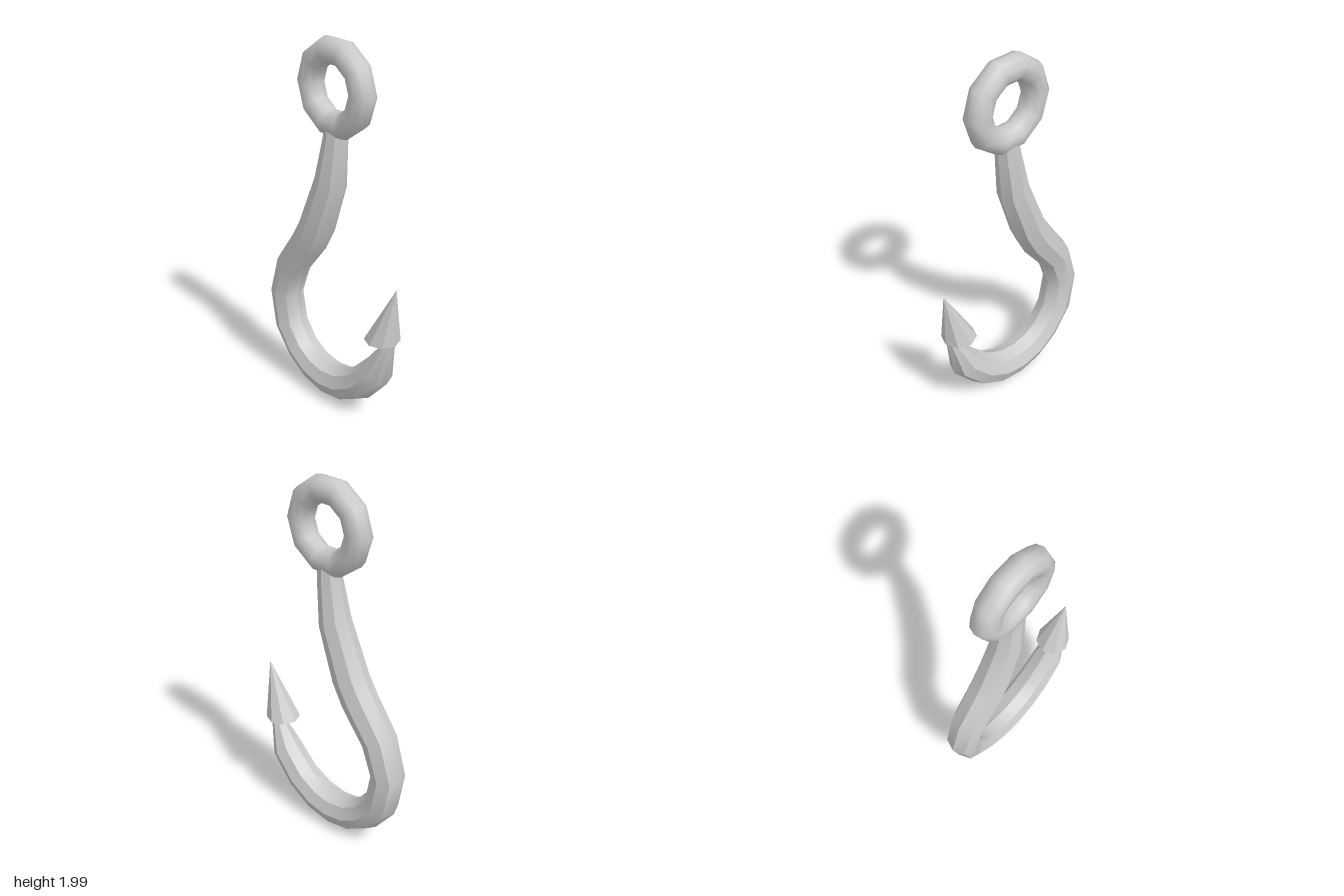
import * as THREE from 'three';
import { toCreasedNormals } from 'three/addons/utils/BufferGeometryUtils.js';

const SIDES = 8;

// Stations along the shank: outer edge x, y then inner edge x, y
const STATIONS = [
  [-0.032, 1.56, 0.085, 1.56],
  [-0.04, 1.51, 0.085, 1.49],
  [-0.09, 1.3, 0.065, 1.235],
  [-0.21, 1.02, -0.03, 0.95],
  [-0.262, 0.935, -0.1, 0.82],
  [-0.4, 0.735, -0.235, 0.65],
  [-0.47, 0.5, -0.29, 0.5],
  [-0.43, 0.275, -0.26, 0.345],
  [-0.31, 0.12, -0.19, 0.255],
  [-0.17, 0.035, -0.11, 0.21],
  [-0.02, 0.006, -0.02, 0.195],
  [0.14, 0.034, 0.07, 0.21],
  [0.29, 0.125, 0.175, 0.265],
  [0.42, 0.28, 0.285, 0.38],
  [0.458, 0.525, 0.4, 0.53],
];

// Octagonal sections spanning each outer/inner pair, joined and capped
function shankGeometry() {
  const positions = [];
  const index = [];
  for (const [ox, oy, ix, iy] of STATIONS) {
    const cx = (ox + ix) / 2, cy = (oy + iy) / 2;
    const hx = (ox - ix) / 2, hy = (oy - iy) / 2;
    const depth = Math.min(Math.hypot(hx, hy), 0.094);
    for (let s = 0; s < SIDES; s++) {
      const a = (s / SIDES) * Math.PI * 2;
      positions.push(cx + hx * Math.cos(a), cy + hy * Math.cos(a), depth * Math.sin(a));
    }
  }
  for (let r = 0; r < STATIONS.length - 1; r++) {
    for (let s = 0; s < SIDES; s++) {
      const a = r * SIDES + s, b = r * SIDES + (s + 1) % SIDES;
      index.push(a, a + SIDES, b, b, a + SIDES, b + SIDES);
    }
  }
  const last = (STATIONS.length - 1) * SIDES;
  for (let s = 1; s < SIDES - 1; s++) {
    index.push(0, s, s + 1, last, last + s + 1, last + s);
  }
  const geometry = new THREE.BufferGeometry();
  geometry.setAttribute('position', new THREE.Float32BufferAttribute(positions, 3));
  geometry.setIndex(index);
  return toCreasedNormals(geometry, THREE.MathUtils.degToRad(38));
}

// Cone whose apex leans outward, with a slightly dished-out underside
function barbGeometry() {
  const height = 0.32;
  const geometry = new THREE.ConeGeometry(0.093, height, SIDES);
  geometry.translate(0, height / 2, 0);
  const p = geometry.attributes.position;
  for (let i = 0; i < p.count; i++) {
    const x = p.getX(i), y = p.getY(i), z = p.getZ(i);
    p.setX(i, x + 0.089 * (y / height));
    if (y < 0.001 && Math.hypot(x, z) < 0.01) p.setY(i, -0.016);
  }
  return geometry;
}

export function createModel() {
  const group = new THREE.Group();
  const smooth = new THREE.MeshStandardMaterial({ color: 0xcccccc });
  const faceted = new THREE.MeshStandardMaterial({ color: 0xcccccc, flatShading: true });

  const add = (name, geometry, material, x = 0, y = 0) => {
    const mesh = new THREE.Mesh(geometry, material);
    mesh.name = name;
    mesh.position.set(x, y, 0);
    group.add(mesh);
  };

  add('eyeRing', new THREE.TorusGeometry(0.184, 0.068, 10, 10), smooth, 0.026, 1.76);
  add('curvedShank', shankGeometry(), smooth);
  add('barbedTip', barbGeometry(), faceted, 0.378, 0.531);
  return group;
}
